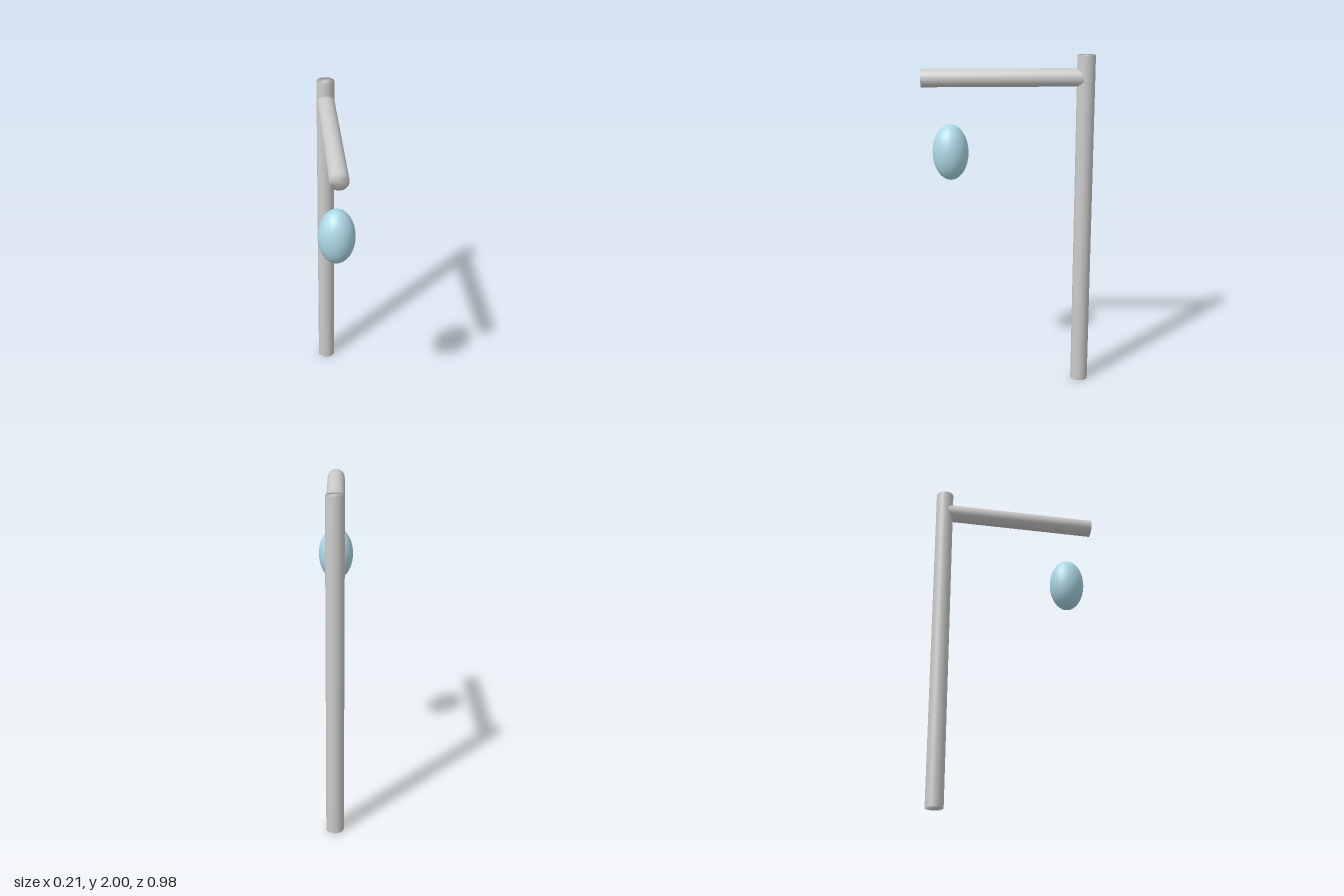
import * as THREE from 'three';

const RADIUS = 0.0515;

// Closed round bar along +y, with normals blended smoothly over its rims
function bar(name, length, material) {
  const profile = [[0, 0], [RADIUS, 0], [RADIUS, length], [0, length]]
    .map(([x, y]) => new THREE.Vector2(x, y));
  const mesh = new THREE.Mesh(new THREE.LatheGeometry(profile, 48), material);
  mesh.name = name;
  return mesh;
}

export function createModel() {
  const model = new THREE.Group();
  model.name = 'lampPost';
  const grey = new THREE.MeshStandardMaterial({ color: 0xcccccc });
  const blue = new THREE.MeshStandardMaterial({ color: 0xadd8e6 });

  // Upright post at the back
  const post = bar('post', 2, grey);
  post.position.z = -0.44;

  // Horizontal arm reaching forward from the post
  const arm = bar('arm', 0.914, grey);
  arm.rotation.x = Math.PI / 2;
  arm.position.set(0, 1.876, -0.424);

  // Egg-shaped lamp floating below the arm
  const lamp = new THREE.Mesh(new THREE.SphereGeometry(1, 48, 32), blue);
  lamp.name = 'lamp';
  lamp.scale.set(0.103, 0.162, 0.103);
  lamp.position.set(0, 1.447, 0.33);

  model.add(post, arm, lamp);
  return model;
}
